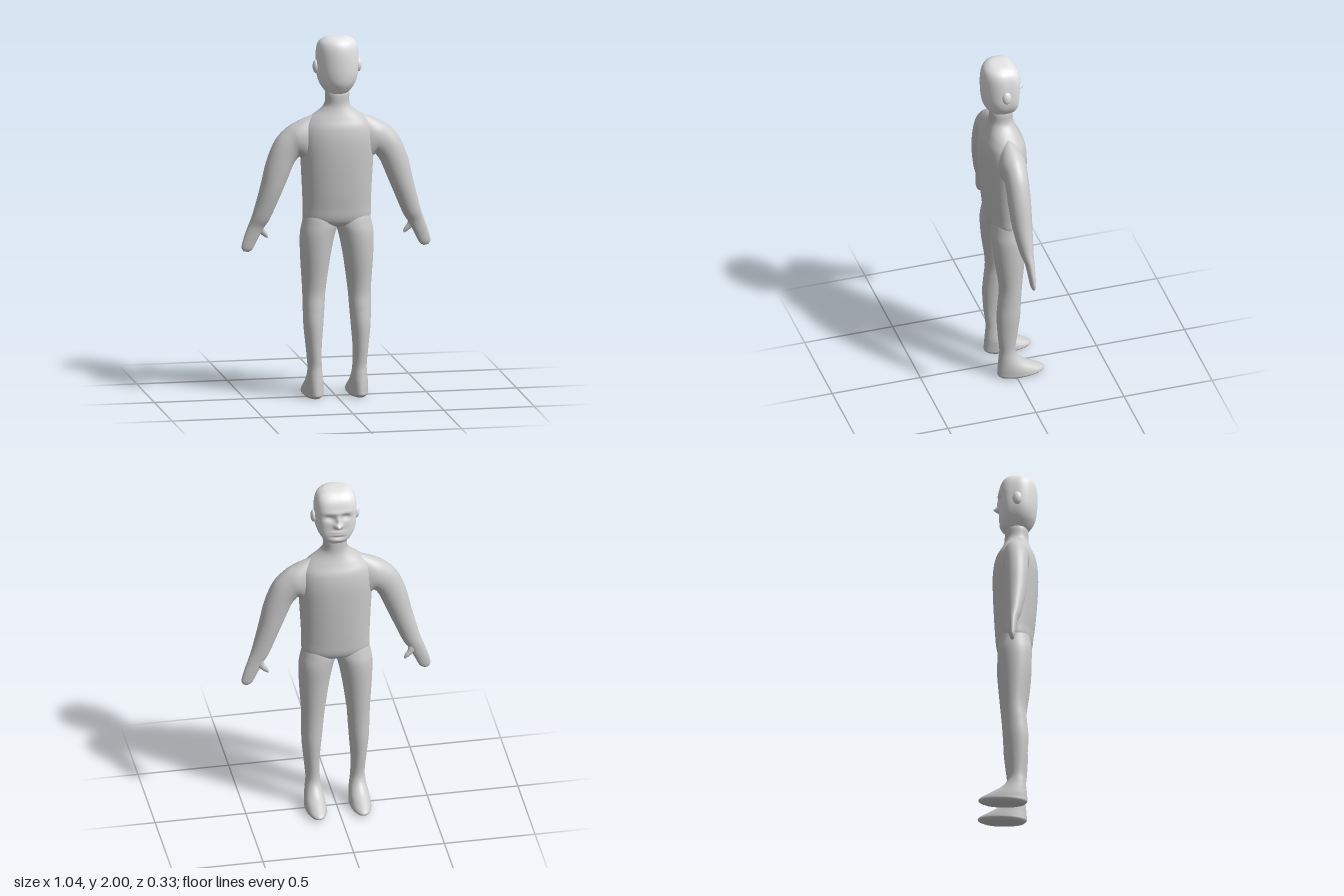
import * as THREE from 'three';

// Loft through rows [ax, ay, bx, by, zFront, zBack]: a and b are opposite edges of each section.
function loft(rows, { steps = 6, sides = 40, power = () => 2, shape = null, mirror = false } = {}) {
  const flip = mirror ? -1 : 1;
  const curve = (f) => new THREE.CatmullRomCurve3(rows.map(f), false, 'catmullrom', 0.5);
  const edgeA = curve((r) => new THREE.Vector3(r[0] * flip, r[1], r[4]));
  const edgeB = curve((r) => new THREE.Vector3(r[2] * flip, r[3], r[5]));
  const n = (rows.length - 1) * steps;
  const pos = [], idx = [];
  const tri = (a, b, c) => (mirror ? idx.push(a, c, b) : idx.push(a, b, c));
  for (let i = 0; i <= n; i++) {
    const a = edgeA.getPoint(i / n), b = edgeB.getPoint(i / n);
    const mid = a.clone().add(b).multiplyScalar(0.5);
    for (let j = 0; j < sides; j++) {
      const t = (j / sides) * Math.PI * 2, c = Math.cos(t), s = Math.sin(t);
      const e = power(s);
      const r = (Math.abs(c) ** e + Math.abs(s) ** e) ** (-1 / e);
      const p = new THREE.Vector3(
        mid.x + (a.x - b.x) * 0.5 * c * r,
        mid.y + (a.y - b.y) * 0.5 * c * r,
        mid.z + (b.z - a.z) * 0.5 * s * r);
      if (shape) shape(p, s);
      pos.push(p.x, p.y, p.z);
      if (i < n) {
        const k = i * sides + j, k2 = i * sides + (j + 1) % sides;
        tri(k, k2, k + sides);
        tri(k2, k2 + sides, k + sides);
      }
    }
  }
  // end caps
  [0, n].forEach((i) => {
    const m = edgeA.getPoint(i / n).add(edgeB.getPoint(i / n)).multiplyScalar(0.5);
    const centre = pos.length / 3;
    pos.push(m.x, m.y, m.z);
    for (let j = 0; j < sides; j++) {
      const k = i * sides + j, k2 = i * sides + (j + 1) % sides;
      if (i === 0) tri(centre, k2, k); else tri(centre, k, k2);
    }
  });
  const g = new THREE.BufferGeometry();
  g.setAttribute('position', new THREE.Float32BufferAttribute(pos, 3));
  g.setIndex(idx);
  g.computeVertexNormals();
  return g;
}

// Symmetric section: height, half width, front z, back z
const level = ([y, w, zf, zb]) => [w, y, -w, y, zf, zb];

export function createModel() {
  const model = new THREE.Group();
  const bodyGrey = new THREE.MeshStandardMaterial({ color: 0xcccccc });
  bodyGrey.name = 'body grey';
  const headGrey = new THREE.MeshStandardMaterial({ color: 0xe6e6e6 });
  headGrey.name = 'head grey';
  const add = (name, geometry, material) => {
    const mesh = new THREE.Mesh(geometry, material);
    mesh.name = name;
    model.add(mesh);
    return mesh;
  };

  // Neck and torso
  add('torso', loft([
    [1.7, 0.062, -0.015, 0.1], [1.68, 0.066, -0.02, 0.106], [1.63, 0.068, -0.022, 0.108],
    [1.595, 0.095, -0.03, 0.116], [1.55, 0.155, -0.05, 0.132], [1.5, 0.192, -0.074, 0.15],
    [1.42, 0.204, -0.086, 0.16], [1.3, 0.198, -0.085, 0.158], [1.15, 0.19, -0.078, 0.147],
    [1.06, 0.187, -0.072, 0.136], [1.0, 0.186, -0.066, 0.128], [0.965, 0.165, -0.048, 0.11],
    [0.945, 0.09, -0.01, 0.07],
  ].map(level), { sides: 56, power: () => 2.15 }), bodyGrey);

  // Head with a flatter face
  const bump = (p, x, y, sx, sy) => Math.exp(-(((p.x - x) / sx) ** 2) - ((p.y - y) / sy) ** 2);
  const face = (p, s) => {
    if (s > -0.2) return;
    const eyes = bump(p, 0.045, 1.862, 0.026, 0.018) + bump(p, -0.045, 1.862, 0.026, 0.018);
    const brow = bump(p, 0, 1.895, 0.07, 0.014);
    const bridge = bump(p, 0, 1.845, 0.012, 0.03);
    const noseTip = bump(p, 0, 1.812, 0.018, 0.014);
    const lips = bump(p, 0, 1.77, 0.035, 0.008) + bump(p, 0, 1.752, 0.03, 0.008);
    const underLip = bump(p, 0, 1.737, 0.04, 0.009);
    const chin = bump(p, 0, 1.715, 0.03, 0.014);
    p.z += 0.014 * eyes - 0.005 * brow - 0.012 * bridge - 0.03 * noseTip
      - 0.005 * lips + 0.004 * underLip - 0.006 * chin;
  };
  add('head', loft([
    [2.0, 0.03, 0.03, 0.08], [1.994, 0.064, 0.002, 0.11], [1.975, 0.094, -0.026, 0.136],
    [1.945, 0.109, -0.045, 0.15], [1.9, 0.115, -0.054, 0.156], [1.84, 0.115, -0.052, 0.156],
    [1.79, 0.111, -0.049, 0.152], [1.75, 0.1, -0.048, 0.144], [1.72, 0.084, -0.044, 0.13],
    [1.692, 0.062, -0.032, 0.11], [1.678, 0.04, -0.01, 0.085],
  ].map(level), { steps: 7, sides: 112, power: (s) => (s < 0 ? 2 + 1.1 * Math.min(1, -s * 2) : 2), shape: face }), headGrey);

  [false, true].forEach((mirror) => {
    const side = mirror ? 'right' : 'left', sign = mirror ? -1 : 1;

    // Ear
    const ear = add(side + 'Ear', new THREE.SphereGeometry(1, 20, 14), headGrey);
    ear.scale.set(0.018, 0.037, 0.025);
    ear.position.set(sign * 0.117, 1.835, 0.045);

    // Shoulder, arm and hand
    add(side + 'Arm', loft([
      [0.08, 1.585, 0.1, 1.2, 0.0, 0.08], [0.15, 1.562, 0.16, 1.28, -0.026, 0.106],
      [0.22, 1.533, 0.204, 1.335, -0.034, 0.11], [0.28, 1.497, 0.222, 1.325, -0.029, 0.103],
      [0.342, 1.43, 0.244, 1.29, -0.025, 0.102], [0.39, 1.315, 0.277, 1.21, -0.022, 0.1],
      [0.422, 1.18, 0.315, 1.12, -0.018, 0.09], [0.462, 1.03, 0.367, 1.0, -0.01, 0.064],
      [0.485, 0.965, 0.402, 0.945, -0.006, 0.044], [0.508, 0.9, 0.433, 0.885, -0.004, 0.035],
      [0.521, 0.845, 0.46, 0.832, 0.0, 0.028], [0.512, 0.821, 0.482, 0.816, 0.006, 0.02],
    ], { mirror }), bodyGrey);

    // Thumb
    add(side + 'Thumb', loft([
      [0.45, 0.95, 0.4, 0.987, -0.002, 0.032], [0.424, 0.92, 0.396, 0.942, -0.005, 0.02],
      [0.4, 0.899, 0.38, 0.917, -0.006, 0.014], [0.379, 0.887, 0.372, 0.895, -0.002, 0.008],
    ], { mirror, sides: 20 }), bodyGrey);

    // Leg and foot: height, inner x, outer x, front z, back z
    add(side + 'Leg', loft([
      [1.08, 0.03, 0.15, -0.02, 0.09], [1.02, 0.0, 0.179, -0.045, 0.11],
      [0.97, -0.01, 0.191, -0.057, 0.121], [0.9, 0.012, 0.202, -0.062, 0.125],
      [0.78, 0.036, 0.2, -0.053, 0.116],
      [0.6, 0.061, 0.189, -0.036, 0.092], [0.5, 0.069, 0.187, -0.029, 0.098],
      [0.4, 0.077, 0.184, -0.024, 0.106], [0.28, 0.086, 0.172, -0.01, 0.1],
      [0.18, 0.085, 0.163, 0.0, 0.089], [0.13, 0.08, 0.166, -0.014, 0.092],
      [0.09, 0.073, 0.172, -0.055, 0.096], [0.055, 0.068, 0.178, -0.118, 0.099],
      [0.03, 0.065, 0.18, -0.16, 0.1], [0.014, 0.066, 0.179, -0.163, 0.099],
      [0.0, 0.08, 0.165, -0.135, 0.085],
    ].map(([y, i, o, zf, zb]) => [o, y, i, y, zf, zb]), { mirror }), bodyGrey);
  });

  return model;
}
